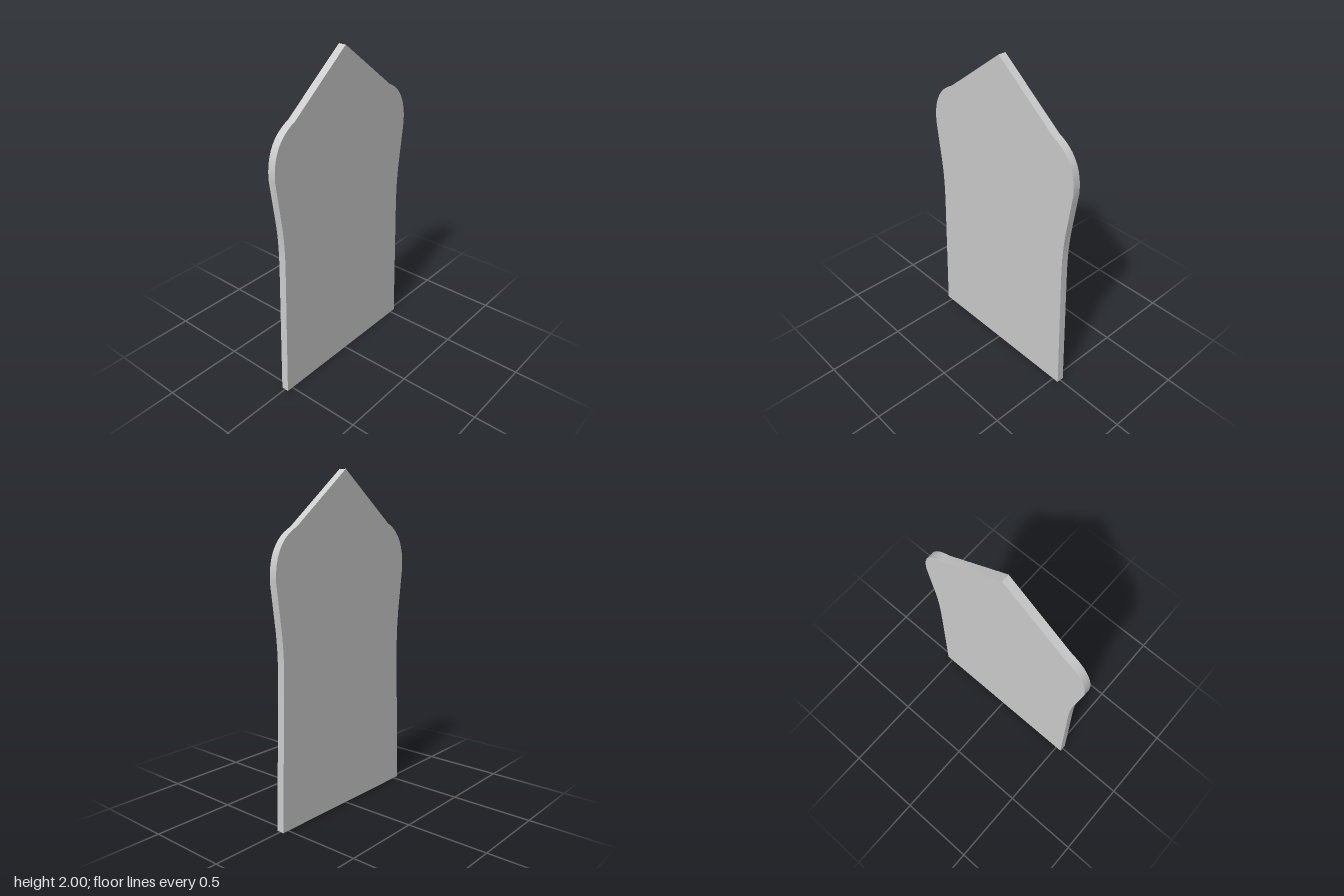
import * as THREE from 'three';
import { toCreasedNormals } from 'three/addons/utils/BufferGeometryUtils.js';

export function createModel() {
  const group = new THREE.Group();
  group.name = 'pointedPanel';
  const thickness = 0.047;

  // Half outline, from the foot up to the shoulder
  const half = new THREE.Path();
  half.moveTo(0.54, 0);
  half.lineTo(0.514, 0.8);
  half.bezierCurveTo(0.509, 0.95, 0.511, 1.03, 0.523, 1.14);
  half.lineTo(0.558, 1.41);
  half.bezierCurveTo(0.562, 1.57, 0.49, 1.65, 0.4, 1.69);
  const side = half.getPoints(10);

  // Mirror the half outline around the peak
  const mirrored = side.map((p) => new THREE.Vector2(-p.x, p.y)).reverse();
  const outline = new THREE.Shape([...side, new THREE.Vector2(0, 2), ...mirrored]);

  // Flat slab with its broad faces towards +x and -x
  const slab = new THREE.ExtrudeGeometry(outline, { depth: thickness, bevelEnabled: false });
  slab.translate(0, 0, -thickness / 2);
  slab.rotateY(Math.PI / 2);

  const panel = new THREE.Mesh(
    toCreasedNormals(slab, Math.PI / 6),
    new THREE.MeshStandardMaterial({ color: 0xcccccc })
  );
  panel.name = 'panel';
  group.add(panel);
  return group;
}
